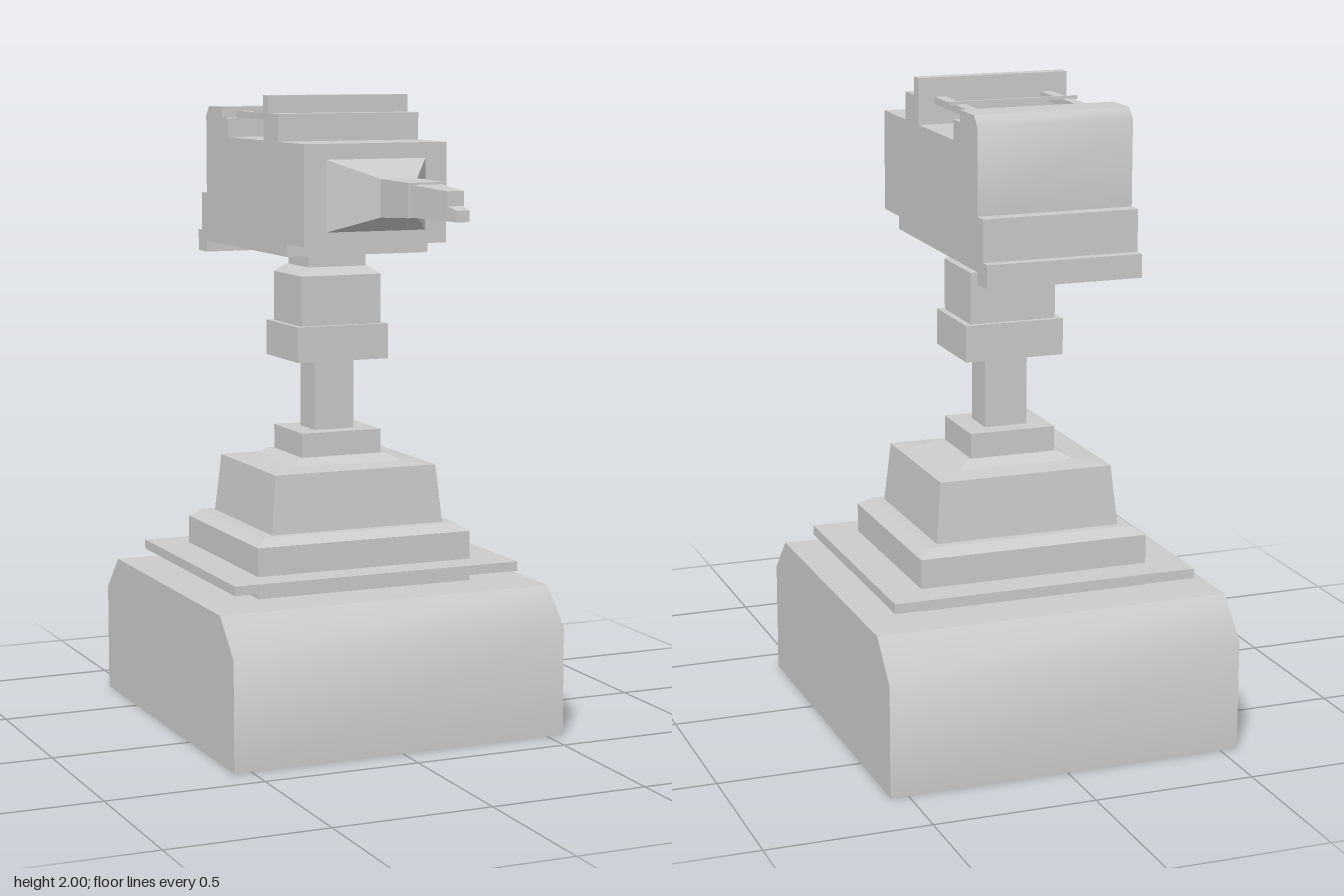
import * as THREE from 'three';
import { toCreasedNormals } from 'three/addons/utils/BufferGeometryUtils.js';

const material = new THREE.MeshStandardMaterial({ color: 0xcccccc });
const COLUMN_Z = -0.2;

function part(name, geometry) {
  const mesh = new THREE.Mesh(geometry, material);
  mesh.name = name;
  return mesh;
}

// Flat-faced solid through a series of four-cornered rings
function loft(rings) {
  const pos = [];
  const quad = (a, b, c, d) => pos.push(...a, ...b, ...c, ...a, ...c, ...d);
  for (let r = 0; r < rings.length - 1; r++) {
    for (let i = 0; i < 4; i++) {
      const j = (i + 1) % 4;
      quad(rings[r][i], rings[r][j], rings[r + 1][j], rings[r + 1][i]);
    }
  }
  quad(...[...rings[0]].reverse());
  quad(...rings[rings.length - 1]);
  const g = new THREE.BufferGeometry();
  g.setAttribute('position', new THREE.Float32BufferAttribute(pos, 3));
  g.computeVertexNormals();
  return g;
}

// Upright tier: levels of [y, half width, half depth] around the column
const tier = (name, levels) => part(name, loft(levels.map(([y, x, d]) =>
  [[x, y, d], [x, y, -d], [-x, y, -d], [-x, y, d]].map(([a, b, c]) => [a, b, c + COLUMN_Z]))));

// Forward-pointing piece: sections of [z, half width, bottom y, top y]
const forward = (name, sections) => part(name, loft(sections.map(([z, x, y0, y1]) =>
  [[x, y0, z], [x, y1, z], [-x, y1, z], [-x, y0, z]])));

// Side profile of [z, y] points extruded across x
function profile(name, points, halfWidth) {
  const shape = new THREE.Shape(points.map(([z, y]) => new THREE.Vector2(-z, y)));
  const g = new THREE.ExtrudeGeometry(shape, { depth: 2 * halfWidth, bevelEnabled: false });
  g.translate(0, 0, -halfWidth).rotateY(Math.PI / 2);
  return part(name, toCreasedNormals(g, Math.PI / 4));
}

function box(name, w, h, d, x, y, z) {
  return part(name, new THREE.BoxGeometry(w, h, d).translate(x, y, z));
}

export function createModel() {
  const model = new THREE.Group();
  model.name = 'turret';

  // Base block with sloped front and back edges
  model.add(profile('base', [
    [0.39, 0], [0.39, 0.345], [0.28, 0.46], [-0.672, 0.46], [-0.782, 0.345], [-0.782, 0],
  ], 0.555));

  // Stepped pedestal
  const pedestal = new THREE.Group();
  pedestal.name = 'pedestal';
  pedestal.add(
    tier('lowerTier', [[0.46, 0.363, 0.308], [0.62, 0.363, 0.308], [0.645, 0.327, 0.277]]),
    tier('flangePlate', [[0.5, 0.48, 0.412], [0.53, 0.48, 0.412]]),
    tier('upperTier', [[0.645, 0.293, 0.25], [0.83, 0.275, 0.235], [0.838, 0.185, 0.157], [0.86, 0.15, 0.128]]),
  );
  model.add(pedestal);

  // Column carrying the head
  const column = new THREE.Group();
  column.name = 'column';
  column.add(
    tier('lowerCollar', [[0.86, 0.136, 0.117], [0.937, 0.136, 0.117]]),
    tier('post', [[0.937, 0.068, 0.058], [1.165, 0.068, 0.058]]),
    tier('upperCollar', [[1.165, 0.156, 0.132], [1.277, 0.156, 0.132]]),
    tier('swivelBlock', [[1.277, 0.136, 0.115], [1.435, 0.136, 0.115], [1.46, 0.105, 0.088]]),
    tier('neck', [[1.46, 0.098, 0.083], [1.51, 0.098, 0.083]]),
  );
  model.add(column);

  // Head housing with raised front ridge, rear hump and stepped back
  model.add(profile('headHousing', [
    [0.183, 1.86], [0.183, 1.55], [0.047, 1.55], [0.047, 1.51],
    [-0.652, 1.51], [-0.652, 1.475], [-0.73, 1.475], [-0.73, 1.545],
    [-0.696, 1.545], [-0.696, 1.67], [-0.65, 1.67], [-0.65, 1.925],
    [-0.623, 1.955], [-0.506, 1.955], [-0.506, 1.92], [-0.452, 1.92],
    [-0.452, 1.86], [-0.145, 1.86], [-0.145, 2], [-0.104, 2],
    [-0.104, 1.945], [-0.023, 1.945], [-0.023, 1.86],
  ], 0.238));

  // Rails bridging the gap on top, joined by a thin crossbar
  const rails = new THREE.Group();
  rails.name = 'topRails';
  for (const side of [-1, 1]) {
    rails.add(box(side > 0 ? 'leftRail' : 'rightRail', 0.035, 0.022, 0.362, side * 0.17, 1.931, -0.325));
  }
  rails.add(box('crossbar', 0.405, 0.01, 0.01, 0, 1.945, -0.312));
  model.add(rails);

  // Barrel narrowing toward the front
  const barrel = new THREE.Group();
  barrel.name = 'barrel';
  barrel.add(
    forward('barrelShroud', [[0.183, 0.166, 1.592, 1.812], [0.35, 0.06, 1.645, 1.76]]),
    forward('barrelSleeve', [[0.35, 0.06, 1.645, 1.76], [0.543, 0.06, 1.655, 1.758]]),
    forward('muzzle', [[0.543, 0.05, 1.657, 1.752], [0.737, 0.026, 1.657, 1.743]]),
    forward('muzzleTip', [[0.737, 0.025, 1.657, 1.7], [0.785, 0.02, 1.657, 1.69]]),
  );
  model.add(barrel);

  return model;
}
